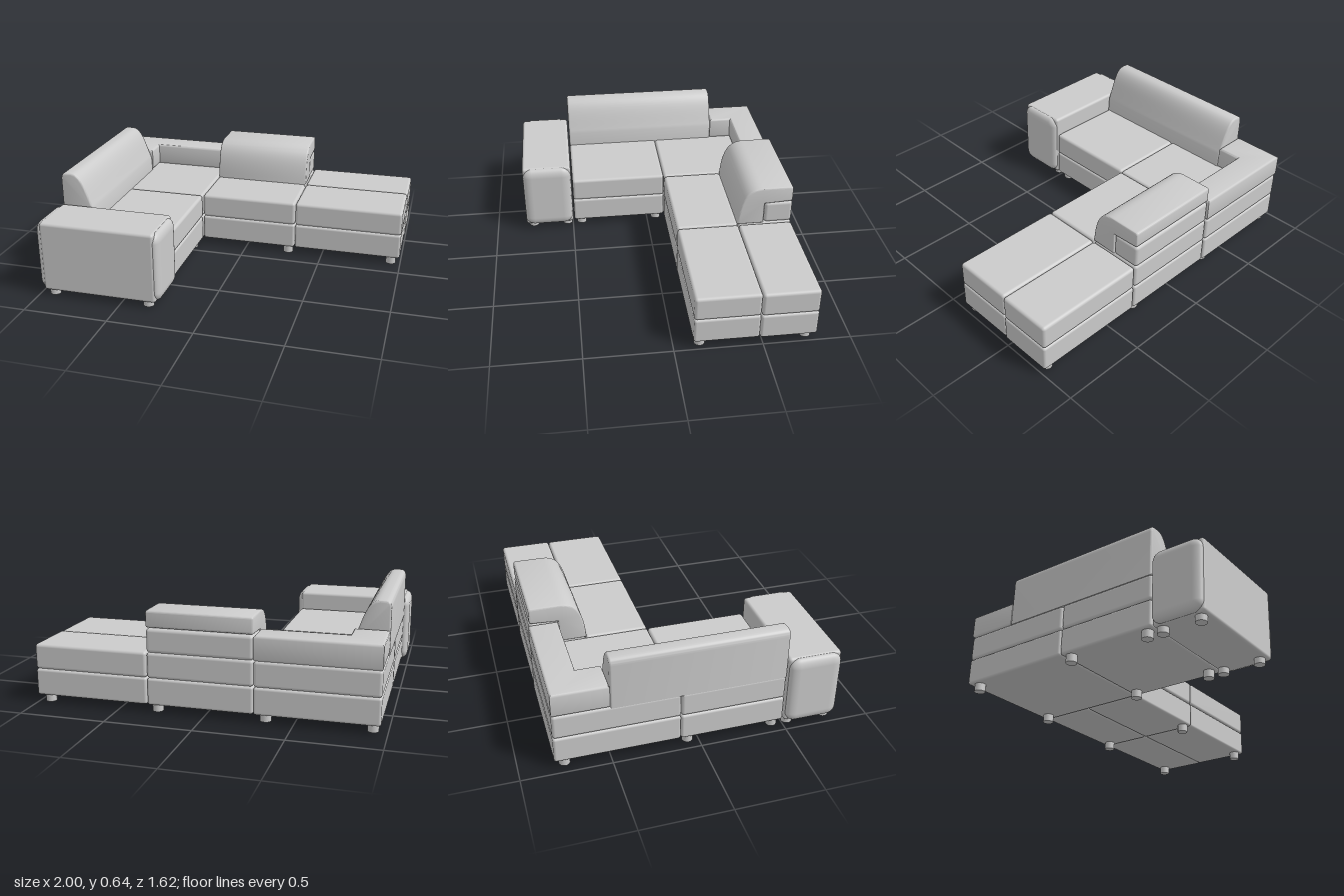
import * as THREE from 'three';
import { RoundedBoxGeometry } from 'three/addons/geometries/RoundedBoxGeometry.js';
import { toCreasedNormals } from 'three/addons/utils/BufferGeometryUtils.js';

const material = new THREE.MeshStandardMaterial({ color: 0xcccccc });

export function createModel() {
  const sofa = new THREE.Group();
  sofa.name = 'cornerSofa';

  const add = (name, geometry) => {
    const mesh = new THREE.Mesh(geometry, material);
    mesh.name = name;
    sofa.add(mesh);
    return mesh;
  };

  // Soft-edged block given by its limits on each axis
  const block = (name, [x0, x1], [y0, y1], [z0, z1], radius = 0.015) =>
    add(name, new RoundedBoxGeometry(x1 - x0, y1 - y0, z1 - z0, 4, radius))
      .position.set((x0 + x1) / 2, (y0 + y1) / 2, (z0 + z1) / 2);

  // Profile extruded to a given length with a small soft edge
  const padded = (name, shape, length, soft = 0.01) => {
    const geometry = new THREE.ExtrudeGeometry(shape, {
      depth: length - 2 * soft, bevelThickness: soft, bevelSize: soft,
      bevelOffset: -soft, bevelSegments: 3, curveSegments: 14,
    });
    geometry.translate(0, 0, soft);
    return add(name, toCreasedNormals(geometry, 0.6));
  };

  // Seat modules: a base layer with a cushion layer on top
  const modules = [
    ['chaise', [-0.965, -0.283], [-0.108, 0.49]],
    ['corner', [-0.965, -0.283], [-0.81, -0.11]],
    ['middleFront', [-0.281, 0.324], [-0.479, -0.11]],
    ['middleBack', [-0.281, 0.324], [-0.805, -0.481]],
    ['endFront', [0.327, 0.995], [-0.479, -0.11]],
    ['endBack', [0.327, 1], [-0.803, -0.481]],
  ];
  for (const [name, x, z] of modules) {
    block(name + 'Base', x, [0.045, 0.2], z);
    block(name + 'Cushion', x, [0.2, 0.347], z, 0.018);
  }

  // Low L-shaped rail around the corner seat
  const rail = new THREE.Shape([
    [-0.965, 0.5], [-0.77, 0.5], [-0.77, 0.64], [-0.283, 0.64], [-0.283, 0.81], [-0.965, 0.81],
  ].map(([x, y]) => new THREE.Vector2(x, y)));
  const cornerRail = padded('cornerRail', rail, 0.14, 0.015);
  cornerRail.rotation.x = -Math.PI / 2;
  cornerRail.position.y = 0.345;

  // Matching rail behind the middle seat
  block('middleRail', [-0.281, 0.324], [0.345, 0.483], [-0.805, -0.637], 0.02);

  // Tall sloping backrest along the side
  const side = new THREE.Shape();
  side.moveTo(-0.968, 0.34);
  side.lineTo(-0.77, 0.34);
  side.lineTo(-0.775, 0.435);
  side.bezierCurveTo(-0.81, 0.52, -0.835, 0.645, -0.905, 0.645);
  side.lineTo(-0.933, 0.645);
  side.quadraticCurveTo(-0.968, 0.645, -0.968, 0.605);
  side.closePath();
  padded('sideBackrest', side, 0.99, 0.012).position.z = -0.5;

  // Hooked cushion hanging over the middle rail
  const hook = new THREE.Shape();
  hook.moveTo(-0.475, 0.343);
  hook.bezierCurveTo(-0.485, 0.5, -0.52, 0.583, -0.62, 0.583);
  hook.lineTo(-0.785, 0.583);
  hook.quadraticCurveTo(-0.803, 0.583, -0.803, 0.565);
  hook.lineTo(-0.803, 0.503);
  hook.quadraticCurveTo(-0.803, 0.486, -0.785, 0.486);
  hook.lineTo(-0.635, 0.478);
  hook.lineTo(-0.635, 0.343);
  hook.closePath();
  const backCushion = padded('backCushion', hook, 0.605);
  backCushion.rotation.y = -Math.PI / 2;
  backCushion.position.x = 0.324;

  // Arm block with a puffed pad on each end
  block('arm', [-0.968, -0.283], [0.035, 0.455], [0.498, 0.808], 0.018);
  for (const [name, x] of [['armPadOuter', -0.965], ['armPadInner', -0.29]]) {
    const pad = add(name, new RoundedBoxGeometry(0.12, 0.412, 0.3, 6, 0.055));
    pad.scale.x = 0.58;
    pad.position.set(x, 0.245, 0.653);
  }

  // Short round feet
  const feet = [];
  for (const x of [-0.92, -0.34]) {
    for (const z of [-0.75, -0.06, 0.44, 0.535, 0.76]) feet.push([x, z]);
  }
  for (const x of [0.28, 0.94]) {
    for (const z of [-0.75, -0.15]) feet.push([x, z]);
  }
  for (const [x, z] of feet) {
    add('foot', new THREE.CylinderGeometry(0.031, 0.031, 0.05, 24)).position.set(x, 0.025, z);
  }

  return sofa;
}
